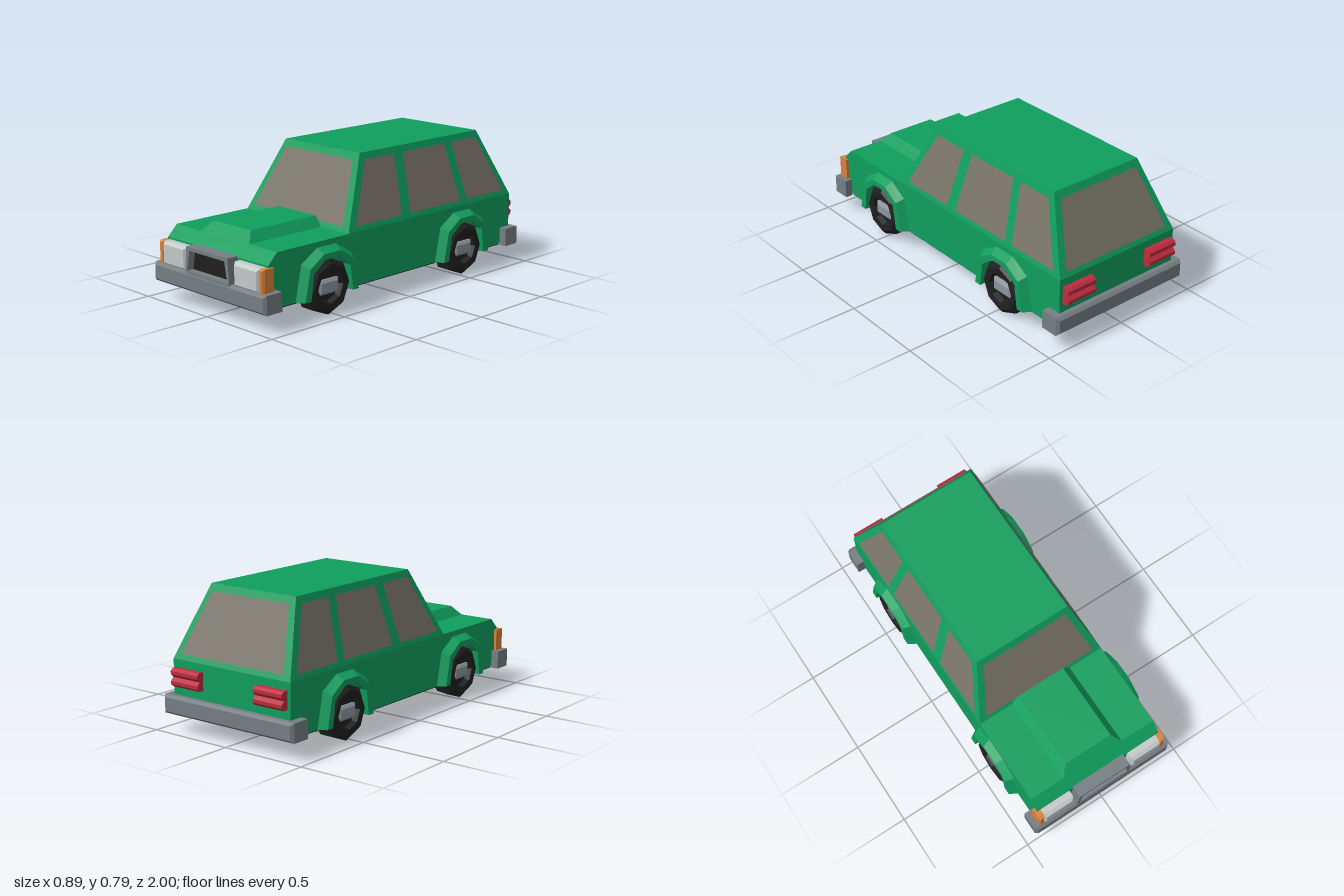
import * as THREE from 'three';
import { ConvexGeometry } from 'three/addons/geometries/ConvexGeometry.js';

const mat = (name, color, side = THREE.FrontSide) => {
  const m = new THREE.MeshStandardMaterial({ color, side });
  m.name = name;
  return m;
};

export function createModel() {
  const car = new THREE.Group();
  car.name = 'stationWagon';
  const green = mat('green paint', 0x109e5e, THREE.DoubleSide);
  const glass = mat('window glass', 0x7a756a, THREE.DoubleSide);
  const grey = mat('grey trim', 0x757e83);
  const black = mat('black rubber', 0x201f1f);
  const lamp = mat('headlight white', 0xc4c9ca);
  const orange = mat('indicator orange', 0xd9823a);
  const red = mat('tail light red', 0xbd2c3e);
  const rimGrey = mat('rim grey', 0x8b959b);

  const add = (name, geo, material, parent = car) => {
    const mesh = new THREE.Mesh(geo, material);
    mesh.name = name;
    parent.add(mesh);
    return mesh;
  };
  const flat = (geo) => {
    const g = geo.index ? geo.toNonIndexed() : geo;
    g.computeVertexNormals();
    return g;
  };
  const hull = (pts) => new ConvexGeometry(pts.map((p) => new THREE.Vector3(...p)));
  const box = (x0, x1, y0, y1, z0, z1) =>
    new THREE.BoxGeometry(x1 - x0, y1 - y0, z1 - z0).translate((x0 + x1) / 2, (y0 + y1) / 2, (z0 + z1) / 2);
  // Block whose z1 face is inset, giving a chamfered front
  const block = (x0, x1, y0, y1, z0, zm, z1, i) => hull([[z0, 0], [zm, 0], [z1, i]].flatMap(([z, k]) =>
    [[x0 + k, y0 + k, z], [x1 - k, y0 + k, z], [x1 - k, y1 - k, z], [x0 + k, y1 - k, z]]));
  // Side profile given as [z, y], extruded across x
  const extrudeX = (pts, x0, x1) => {
    const shape = new THREE.Shape(pts.map((p) => new THREE.Vector2(...p)));
    return new THREE.ExtrudeGeometry(shape, { depth: x1 - x0, bevelEnabled: false })
      .translate(0, 0, -x1).rotateY(-Math.PI / 2);
  };

  // Lower body with wheel arch cut-outs
  const axles = [0.53, -0.53];
  const notch = (c) => [[c - 0.15, 0.11], [c - 0.13, 0.25], [c, 0.32], [c + 0.13, 0.25], [c + 0.15, 0.11]];
  add('lowerBody', extrudeX([
    [-0.87, 0.11], ...notch(-0.53), ...notch(0.53), [0.87, 0.11], [0.93, 0.2],
    [0.93, 0.34], [0.87, 0.4], [-0.957, 0.4], [-0.957, 0.2],
  ], -0.4, 0.4), green);

  // Cabin and raised bonnet panel
  add('cabin', hull([-1, 1].flatMap((s) => [
    [s * 0.4, 0.4, 0.37], [s * 0.4, 0.4, -0.957], [s * 0.288, 0.786, 0.176], [s * 0.288, 0.786, -0.775],
  ])), green);
  add('bonnetBulge', hull([-1, 1].flatMap((s) => [
    [s * 0.19, 0.4, 0.365], [s * 0.147, 0.455, 0.365], [s * 0.147, 0.455, 0.82], [s * 0.19, 0.4, 0.87],
  ])), green);

  // Windows: thin faces just proud of the sloping cabin walls
  const pane = (name, pts) => {
    const g = new THREE.BufferGeometry();
    g.setAttribute('position', new THREE.Float32BufferAttribute(pts.flat(), 3));
    g.setIndex([0, 1, 2, 0, 2, 3]);
    add(name, flat(g), glass);
  };
  const sideX = (y) => 0.404 - (y - 0.4) * 0.29;
  const frontZ = (y) => 0.375 - (y - 0.4) * 0.503;
  const rearZ = (y) => -0.962 + (y - 0.4) * 0.472;
  const [lo, hi] = [0.428, 0.75];
  pane('windscreen', [[-0.35, lo, frontZ(lo)], [0.35, lo, frontZ(lo)], [0.26, hi, frontZ(hi)], [-0.26, hi, frontZ(hi)]]);
  pane('rearWindow', [[0.35, lo, rearZ(lo)], [-0.35, lo, rearZ(lo)], [-0.26, hi, rearZ(hi)], [0.26, hi, rearZ(hi)]]);
  // Side windows: z at bottom front, bottom back, top back, top front
  const sideWindows = [
    [0.312, -0.04, -0.075, 0.15],
    [-0.11, -0.525, -0.48, -0.145],
    [-0.58, -0.9, -0.75, -0.54],
  ];

  // Wheel arch flare built from four rings of [x, half width low, half width high, shoulder y, top y]
  const flare = (s, c) => {
    const rings = [
      [0.395, 0.222, 0.18, 0.305, 0.38], [0.445, 0.192, 0.155, 0.28, 0.35],
      [0.445, 0.15, 0.13, 0.25, 0.32], [0.36, 0.15, 0.13, 0.25, 0.32],
    ].map(([x, a, b, y, t]) =>
      [[a, 0.11], [b, y], [b * 0.38, t - 0.008], [-b * 0.38, t - 0.008], [-b, y], [-a, 0.11]]
        .map(([z, h]) => [s * x, h, c + z]));
    const pos = [];
    for (let j = 0; j < 3; j++) for (let i = 0; i < 5; i++) {
      const [p, q, r, t] = [rings[j][i], rings[j + 1][i], rings[j + 1][i + 1], rings[j][i + 1]];
      pos.push(...(s > 0 ? [p, q, r, p, r, t] : [p, r, q, p, t, r]).flat());
    }
    const g = new THREE.BufferGeometry();
    g.setAttribute('position', new THREE.Float32BufferAttribute(pos, 3));
    return flat(g);
  };

  // Tyre profile, turned with eight sides and a recessed middle
  const tyre = flat(new THREE.LatheGeometry([
    [0, -0.065], [0.135, -0.065], [0.152, -0.045], [0.153, 0.04], [0.125, 0.065], [0.09, 0.06], [0.08, 0.03], [0, 0.03],
  ].map((p) => new THREE.Vector2(...p)), 8).rotateZ(-Math.PI / 2));
  const rim = block(-0.072, 0.072, -0.04, 0.04, 0.02, 0.04, 0.052, 0.016).rotateY(Math.PI / 2);

  const tailProfile = [[-0.95, 0.258], [-0.985, 0.258], [-1, 0.272], [-1, 0.29], [-0.982, 0.308],
    [-1, 0.326], [-1, 0.344], [-0.985, 0.357], [-0.95, 0.357]];

  for (const s of [1, -1]) {
    const side = s > 0 ? 'left' : 'right';
    const span = (a, b) => (s > 0 ? [a, b] : [-b, -a]);

    sideWindows.forEach(([a, b, c, d], i) => {
      const pts = [[s * sideX(lo), lo, a], [s * sideX(lo), lo, b], [s * sideX(hi), hi, c], [s * sideX(hi), hi, d]];
      pane(`${side}SideWindow${i + 1}`, s > 0 ? pts : pts.reverse());
    });

    for (const z of axles) {
      const end = z > 0 ? 'Front' : 'Rear';
      add(`${side}${end}ArchFlare`, flare(s, z), green);
      const wheel = new THREE.Group();
      wheel.name = `${side}${end}Wheel`;
      wheel.position.set(s * 0.372, 0.154, z);
      if (s < 0) wheel.rotation.y = Math.PI;
      add('tyre', tyre, black, wheel);
      add('rim', rim, rimGrey, wheel);
      car.add(wheel);
    }

    add(`${side}Headlight`, block(...span(0.19, 0.385), 0.2, 0.33, 0.9, 0.965, 0.985, 0.015), lamp);
    add(`${side}Indicator`, block(...span(0.378, 0.415), 0.2, 0.33, 0.905, 0.965, 0.98, 0.008), orange);
    add(`${side}TailLight`, extrudeX(tailProfile, ...span(0.19, 0.38)), red);
  }

  // Grille: tapered surround with a dark recess
  const surround = new THREE.Shape([[-0.177, 0.19], [0.177, 0.19], [0.165, 0.345], [-0.165, 0.345]]
    .map((p) => new THREE.Vector2(...p)));
  surround.holes.push(new THREE.Path([[-0.16, 0.215], [-0.14, 0.325], [0.14, 0.325], [0.16, 0.215]]
    .map((p) => new THREE.Vector2(...p))));
  add('grilleSurround', new THREE.ExtrudeGeometry(surround, { depth: 0.075, bevelEnabled: false }).translate(0, 0, 0.92), grey);
  add('grilleRecess', box(-0.162, 0.162, 0.2, 0.335, 0.92, 0.955), black);

  // Bumpers with ends wrapping round the body corners
  for (const [name, turn] of [['frontBumper', 0], ['rearBumper', Math.PI]]) {
    const bumper = new THREE.Group();
    bumper.name = name;
    bumper.rotation.y = turn;
    add('bar', block(-0.445, 0.445, 0.103, 0.207, 0.9, 0.982, 0.998, 0.014), grey, bumper);
    for (const s of [1, -1]) add('wrapEnd', box(s * 0.4225 - 0.0225, s * 0.4225 + 0.0225, 0.103, 0.207, 0.88, 0.95), grey, bumper);
    car.add(bumper);
  }

  // Underside: dark floor, wheel well liner and chassis rail
  add('wheelWellLiner', box(-0.3, 0.3, 0.104, 0.34, -0.85, 0.85), black);
  for (const [a, b] of [[-0.88, -0.68], [-0.38, 0.38], [0.68, 0.88]])
    add('floorPanel', box(-0.395, 0.395, 0.104, 0.12, a, b), black);
  add('chassis', box(-0.22, 0.22, 0.07, 0.11, -0.73, 0.74), black);

  return car;
}
